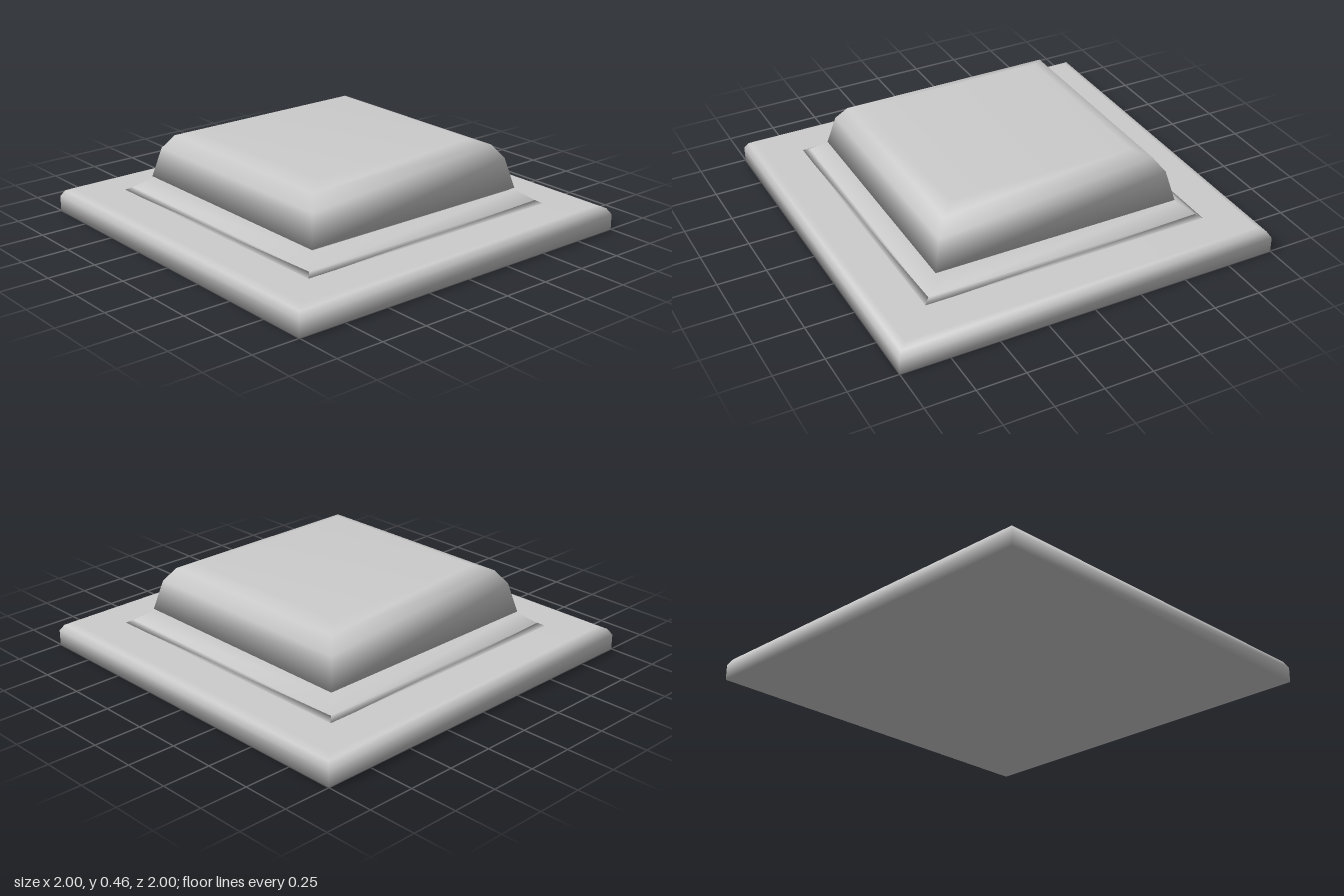
import * as THREE from 'three';

// Square loft through [halfWidth, y] rings, closed at both ends, shared vertices for soft shading
function squareLoft(name, profile) {
  const corners = [[1, 1], [1, -1], [-1, -1], [-1, 1]];
  const positions = [];
  const index = [];
  for (const [w, y] of profile) {
    for (const [cx, cz] of corners) positions.push(cx * w, y, cz * w);
  }
  for (let r = 0; r < profile.length - 1; r++) {
    for (let i = 0; i < 4; i++) {
      const a = r * 4 + i;
      const b = r * 4 + (i + 1) % 4;
      index.push(a, b, b + 4, a, b + 4, a + 4);
    }
  }
  const t = (profile.length - 1) * 4;
  index.push(0, 2, 1, 0, 3, 2); // underside
  index.push(t, t + 1, t + 2, t, t + 2, t + 3); // top
  const geometry = new THREE.BufferGeometry();
  geometry.setAttribute('position', new THREE.Float32BufferAttribute(positions, 3));
  geometry.setIndex(index);
  geometry.computeVertexNormals();
  const mesh = new THREE.Mesh(geometry, new THREE.MeshStandardMaterial({ color: 0xcccccc }));
  mesh.name = name;
  return mesh;
}

export function createModel() {
  const group = new THREE.Group();
  group.name = 'squareButton';
  group.add(
    // wide slab with a rounded upper edge
    squareLoft('baseSlab', [[1, 0], [1, 0.08], [0.98, 0.112], [0.945, 0.127]]),
    // sloped step on top of the slab
    squareLoft('slopedStep', [[0.76, 0.125], [0.727, 0.143], [0.657, 0.194]]),
    // narrow shadow gap under the cap
    squareLoft('neck', [[0.636, 0.19], [0.636, 0.21]]),
    // raised cushion-like cap
    squareLoft('cap', [[0.653, 0.205], [0.615, 0.36], [0.565, 0.43], [0.485, 0.46]])
  );
  return group;
}
